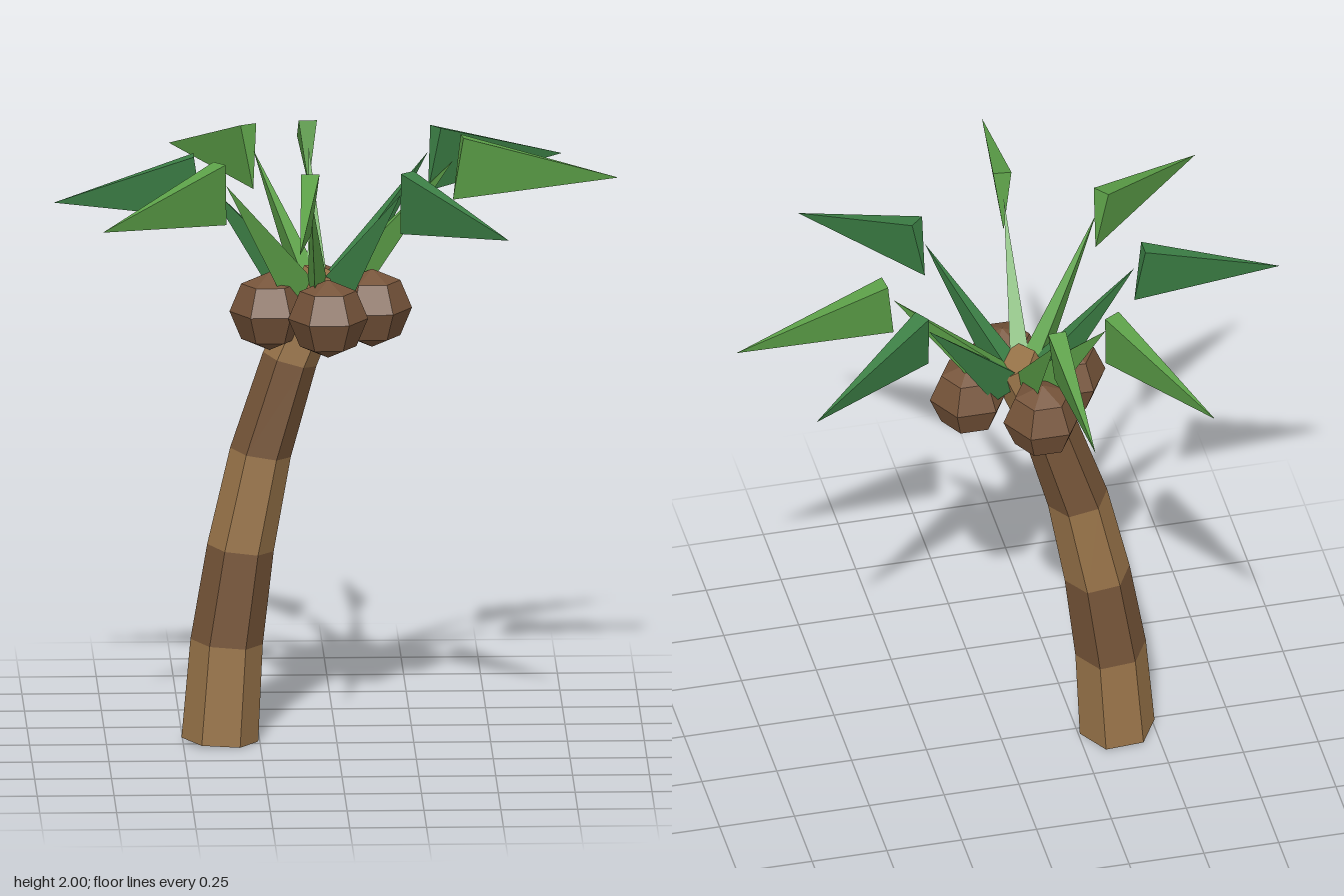
import * as THREE from 'three';

const material = (name, color) => {
  const m = new THREE.MeshStandardMaterial({ color, flatShading: true });
  m.name = name;
  return m;
};

// Flat-sided spike: triangular base a, b, c and a tip d, wound to face outwards
function spike(a, b, c, d) {
  const n = b.clone().sub(a).cross(c.clone().sub(a));
  if (n.dot(d.clone().sub(a)) < 0) [b, c] = [c, b];
  const corners = [a, c, b, a, b, d, b, c, d, c, a, d];
  const geometry = new THREE.BufferGeometry().setFromPoints(corners);
  geometry.computeVertexNormals();
  return geometry;
}

// One trunk section: a six-sided cylinder whose end rings follow the leaning path
function trunkSection(low, high, open) {
  const geometry = new THREE.CylinderGeometry(1, 1, 2, 6, 1, open).rotateY(Math.PI / 2);
  const pos = geometry.attributes.position;
  for (let i = 0; i < pos.count; i++) {
    const [x, y, r, tilt] = pos.getY(i) > 0 ? high : low;
    const side = pos.getX(i) * r;
    pos.setXYZ(i, x + side * Math.cos(tilt), y - side * Math.sin(tilt), -0.03 + pos.getZ(i) * r);
  }
  geometry.computeVertexNormals();
  return geometry;
}

export function createModel() {
  const lightBark = material('light bark', 0x9a754a);
  const darkBark = material('dark bark', 0x775639);
  const husk = material('coconut husk', 0x76543a);
  const lightLeaf = material('light leaf', 0x5ca048);
  const darkLeaf = material('dark leaf', 0x3c7f45);

  const model = new THREE.Group();
  model.name = 'palmTree';
  const add = (parent, name, geometry, mat) => {
    const mesh = new THREE.Mesh(geometry, mat);
    mesh.name = name;
    parent.add(mesh);
    return mesh;
  };

  // Trunk rings: x, y, radius, tilt
  const rings = [
    [-0.38, 0.0085, 0.125, 0.06],
    [-0.358, 0.335, 0.118, 0.085],
    [-0.313, 0.648, 0.109, 0.12],
    [-0.248, 0.965, 0.1, 0.17],
    [-0.153, 1.275, 0.09, 0.28],
    [-0.03, 1.56, 0.08, 0.35],
  ];
  const trunk = new THREE.Group();
  trunk.name = 'trunk';
  model.add(trunk);
  for (let i = 0; i < 5; i++) {
    add(trunk, 'trunkSection', trunkSection(rings[i], rings[i + 1], i > 0 && i < 4),
      i % 2 ? darkBark : lightBark);
  }

  // Coconuts around the crown
  const nut = new THREE.SphereGeometry(0.13, 6, 4);
  for (const [x, z] of [[-0.22, 0.01], [-0.033, 0.13], [0.115, -0.027], [-0.09, -0.2]]) {
    add(model, 'coconut', nut, husk).position.set(x, 1.445, z);
  }

  // Fronds: tip x and z, crest x and z, crest height
  const fronds = [
    [0.92, -0.15, 0.41, -0.09, 2.0],
    [0.54, 0.59, 0.22, 0.26, 1.96],
    [-0.15, 0.91, -0.1, 0.41, 1.99],
    [-0.78, 0.56, -0.39, 0.24, 1.99],
    [-0.92, -0.04, -0.465, -0.04, 1.955],
    [-0.52, -0.82, -0.275, -0.4, 1.975],
    [-0.1, -0.91, -0.08, -0.45, 1.975],
    [0.75, -0.56, 0.33, -0.28, 1.99],
  ];
  fronds.forEach(([tx, tz, cx, cz, top], i) => {
    const frond = new THREE.Group();
    frond.name = 'frond';
    model.add(frond);
    const leaf = i % 3 === 1 ? darkLeaf : lightLeaf;

    // Point at a distance outwards, a height and a sideways offset from an origin
    const placer = (ox, oz, ex, ez) => {
      const out = new THREE.Vector2(ex - ox, ez - oz).normalize();
      return (r, y, w) => new THREE.Vector3(ox + out.x * r - out.y * w, y, oz + out.y * r + out.x * w);
    };
    const outer = placer(cx, cz, tx, tz);
    const inner = placer(-0.06, -0.035, cx, cz);
    const reach = Math.hypot(cx + 0.06, cz + 0.035);

    // Rising stalk, then the drooping blade
    add(frond, 'frondStalk', spike(inner(0, 1.5, -0.035), inner(0, 1.5, 0.035),
      inner(0.13, 1.46, 0), inner(reach - 0.03, top - 0.08, 0)), leaf);
    add(frond, 'frondBlade', spike(outer(0, top, -0.03), outer(0, top, 0.03),
      outer(-0.03, top - 0.21, 0), new THREE.Vector3(tx, top - 0.155, tz)), leaf);
  });
  return model;
}
